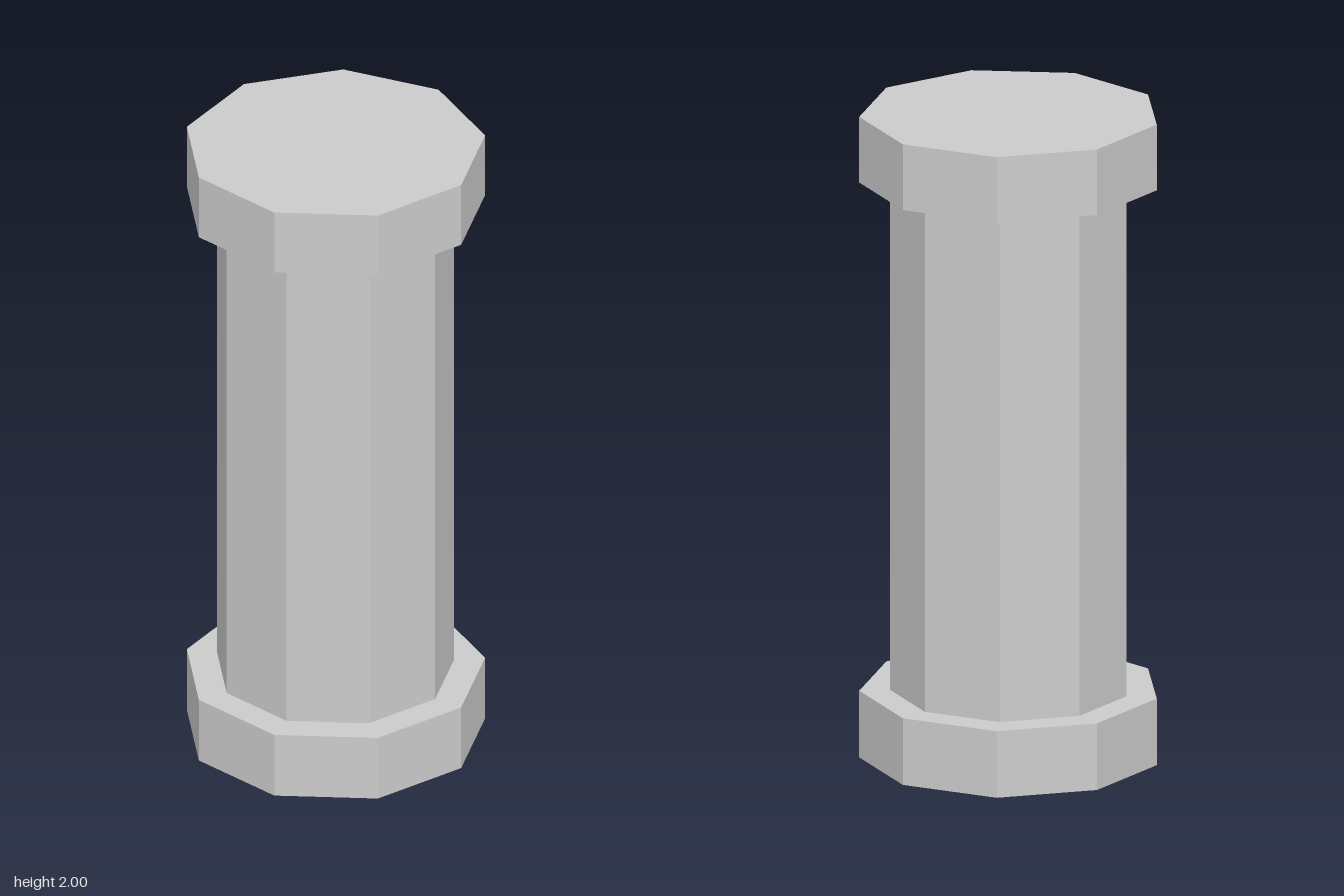
import * as THREE from 'three';

const SIDES = 9;
const CENTRE_X = -0.0135; // centres the nine-sided outline on its width

export function createModel() {
  const group = new THREE.Group();
  group.name = 'column';
  const material = new THREE.MeshStandardMaterial({ color: 0xcccccc, flatShading: true });

  // Upright nine-sided prism with one corner pointing to +x
  function addPrism(name, radius, bottom, top, open = false) {
    const geometry = new THREE.CylinderGeometry(
      radius, radius, top - bottom, SIDES, 1, open, Math.PI / 2);
    const mesh = new THREE.Mesh(geometry, material);
    mesh.name = name;
    mesh.position.set(CENTRE_X, (bottom + top) / 2, 0);
    group.add(mesh);
  }

  addPrism('base', 0.453, 0, 0.208);
  addPrism('shaft', 0.36, 0.208, 1.795, true); // ends are hidden by base and capital
  addPrism('capital', 0.453, 1.795, 2);

  return group;
}
